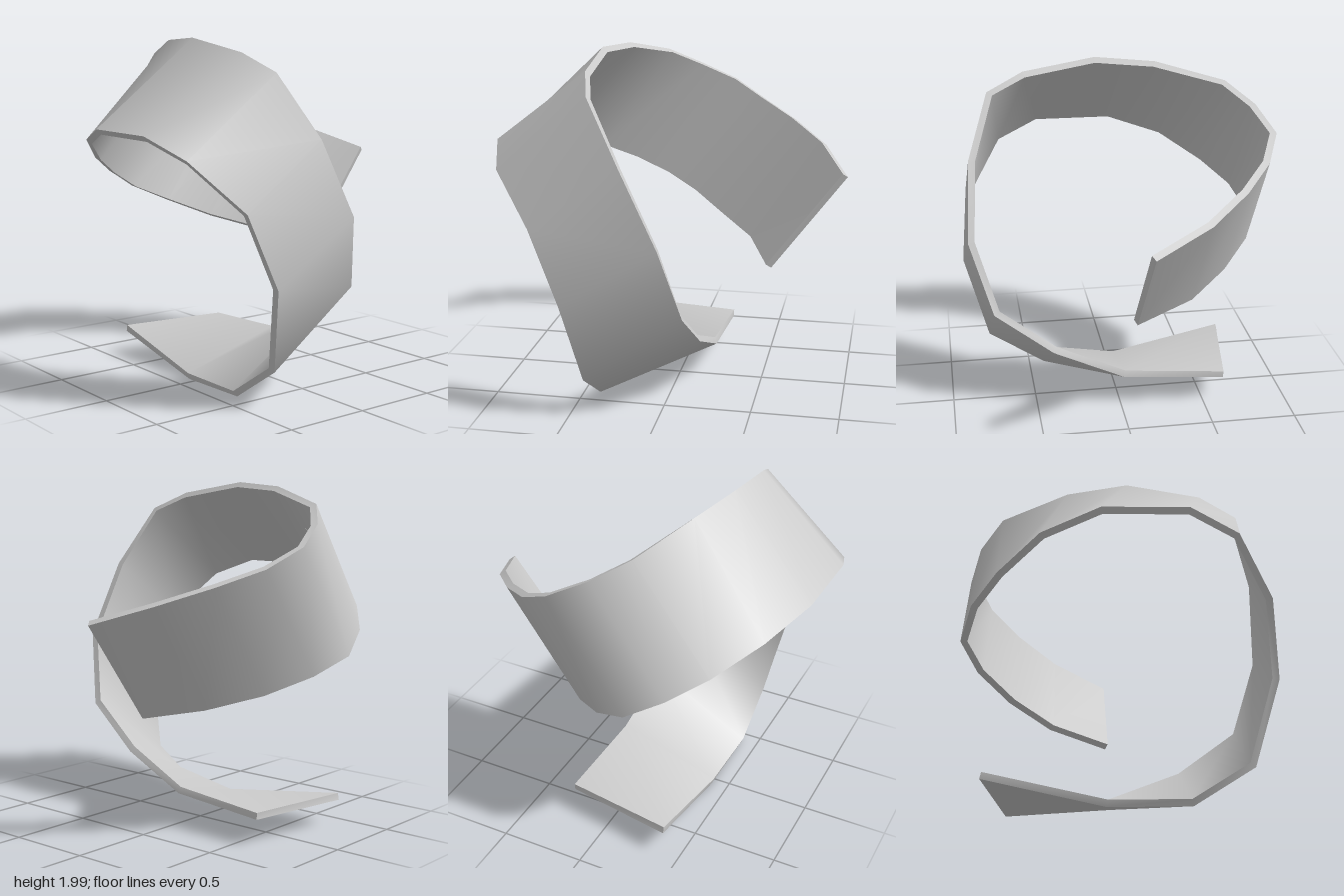
import * as THREE from 'three';
import { toCreasedNormals } from 'three/addons/utils/BufferGeometryUtils.js';

const THICKNESS = 0.04;

// Outer face of the band, station by station, from the upper end to the lower end
const UPPER_EDGE = [
  [0.97, 1.27, -0.06], [0.82, 1.38, -0.39], [0.61, 1.48, -0.63], [0.40, 1.57, -0.80],
  [0.20, 1.68, -0.89], [-0.02, 1.79, -0.82], [-0.20, 1.89, -0.68], [-0.36, 1.98, -0.29],
  [-0.44, 2.00, 0.06], [-0.43, 1.93, 0.49], [-0.37, 1.83, 0.71], [-0.17, 1.48, 0.84],
  [0.04, 1.05, 0.87], [0.15, 0.63, 0.74], [0.19, 0.38, 0.40], [0.22, 0.20, -0.02], [0.24, 0.16, -0.62],
];
const LOWER_EDGE = [
  [0.54, 0.70, -0.04], [0.40, 0.77, -0.38], [0.18, 0.85, -0.62], [-0.03, 0.95, -0.80],
  [-0.24, 1.05, -0.89], [-0.45, 1.17, -0.82], [-0.64, 1.28, -0.67], [-0.84, 1.42, -0.43],
  [-0.97, 1.51, -0.10], [-0.98, 1.51, 0.38], [-0.90, 1.40, 0.65], [-0.67, 1.13, 0.85],
  [-0.50, 0.72, 0.89], [-0.41, 0.24, 0.75], [-0.40, 0.02, 0.41], [-0.40, 0.01, -0.05], [-0.40, 0.16, -0.73],
];

const toVectors = (points) => points.map((p) => new THREE.Vector3(...p));

// Moves an edge inward, square to the band, to give the inner face
function insetEdge(edge, upper, lower) {
  const last = edge.length - 1;
  return edge.map((p, i) => {
    const along = edge[Math.min(i + 1, last)].clone().sub(edge[Math.max(i - 1, 0)]);
    const across = upper[i].clone().sub(lower[i]);
    return p.clone().addScaledVector(along.cross(across).normalize(), -THICKNESS);
  });
}

function bandGeometry() {
  const upper = toVectors(UPPER_EDGE);
  const lower = toVectors(LOWER_EDGE);
  const innerUpper = insetEdge(upper, upper, lower);
  const innerLower = insetEdge(lower, upper, lower);
  const sections = upper.map((u, i) => [lower[i], u, innerUpper[i], innerLower[i]]);

  const positions = [];
  const quad = (a, b, c, d) => [a, b, c, a, c, d].forEach((p) => positions.push(p.x, p.y, p.z));

  // Four long sides
  for (let i = 0; i < sections.length - 1; i++) {
    for (let j = 0; j < 4; j++) {
      const k = (j + 1) % 4;
      quad(sections[i][j], sections[i + 1][j], sections[i + 1][k], sections[i][k]);
    }
  }
  // End caps
  quad(...sections[0]);
  quad(...sections[sections.length - 1].slice().reverse());

  const geometry = new THREE.BufferGeometry();
  geometry.setAttribute('position', new THREE.Float32BufferAttribute(positions, 3));
  return toCreasedNormals(geometry, 1.0);
}

export function createModel() {
  const group = new THREE.Group();
  group.name = 'spiralBand';
  const band = new THREE.Mesh(bandGeometry(), new THREE.MeshStandardMaterial({ color: 0xcccccc }));
  band.name = 'band';
  group.add(band);
  return group;
}
